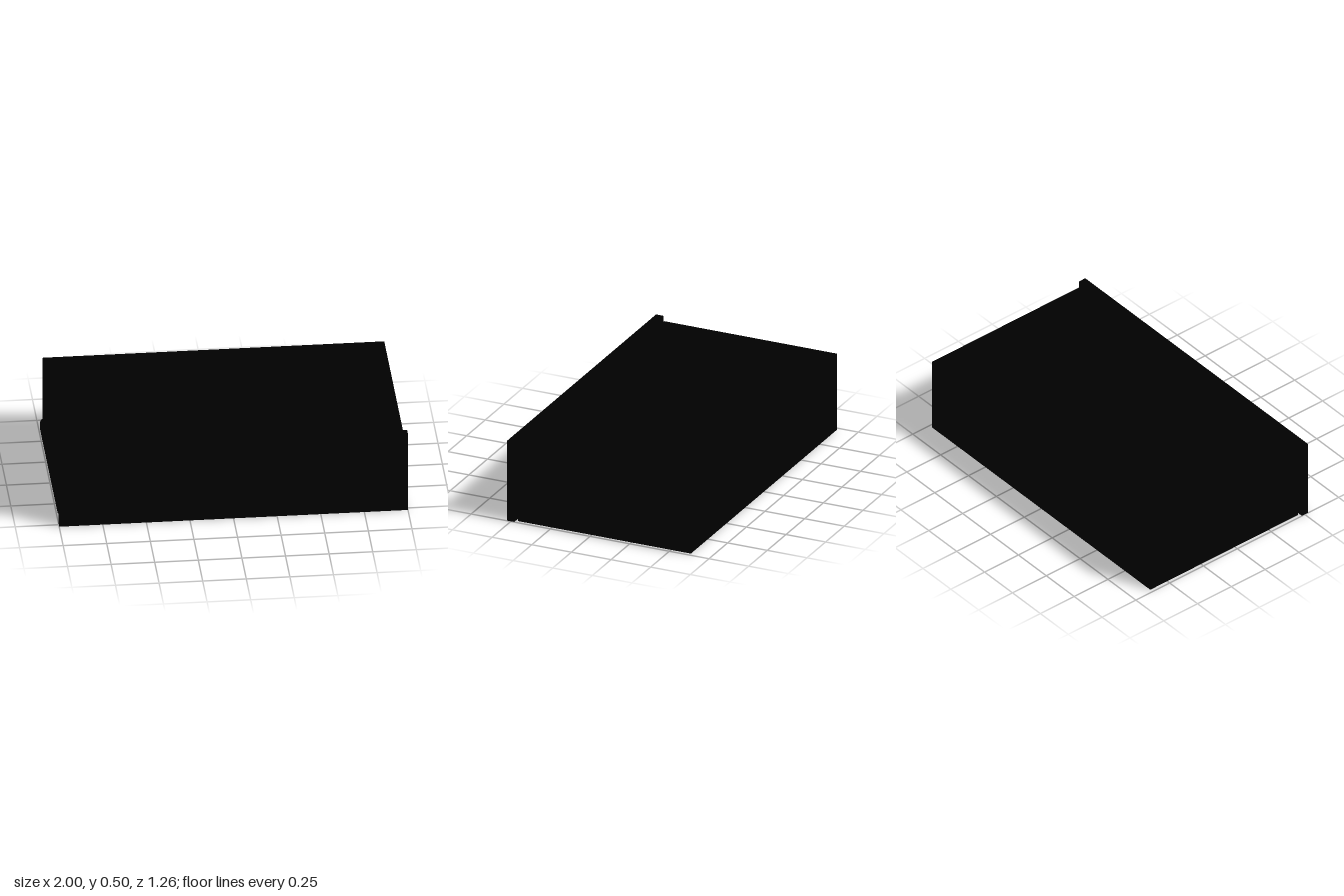
import * as THREE from 'three';
import { RoundedBoxGeometry } from 'three/addons/geometries/RoundedBoxGeometry.js';

export function createModel() {
  const model = new THREE.Group();
  model.name = 'drawer';
  const black = new THREE.MeshStandardMaterial({ color: 0x000000 });

  function add(name, geometry, parent = model) {
    const mesh = new THREE.Mesh(geometry, black);
    mesh.name = name;
    parent.add(mesh);
    return mesh;
  }

  // Board with slightly eased edges, given by its minimum and maximum corners
  function board(name, [x0, y0, z0], [x1, y1, z1], parent) {
    const mesh = add(name, new RoundedBoxGeometry(x1 - x0, y1 - y0, z1 - z0, 2, 0.003), parent);
    mesh.position.set((x0 + x1) / 2, (y0 + y1) / 2, (z0 + z1) / 2);
  }

  // Tray: floor, back and two sides, closed in front by the panel
  const W = 0.98, H = 0.474, back = -0.627, front = 0.466, t = 0.028;
  const tray = new THREE.Group();
  tray.name = 'tray';
  model.add(tray);
  board('floor', [-W + t, 0, back + t], [W - t, 0.025, front], tray);
  board('backWall', [-W + t, 0, back], [W - t, H, back + t], tray);
  board('rightWall', [-W, 0, back], [-W + t, H, front], tray);
  board('leftWall', [W - t, 0, back], [W, H, front], tray);

  // Front panel, set slightly ahead of the tray
  board('frontPanel', [-1, 0, 0.477], [1, 0.497, 0.526]);

  // Slide rails with a rounded upper edge, one on each side
  const y0 = 0.037, y1 = 0.106, rx = 0.016, ry = 0.028;
  for (const [name, s] of [['leftRail', 1], ['rightRail', -1]]) {
    const profile = new THREE.Shape();
    profile.moveTo(s * W, y0);
    profile.lineTo(s * (1 - 0.004), y0);
    profile.lineTo(s, y0 + 0.004);
    profile.lineTo(s, y1 - ry);
    profile.quadraticCurveTo(s, y1, s * (1 - rx), y1);
    profile.lineTo(s * W, y1);
    profile.closePath();
    const rail = new THREE.ExtrudeGeometry(profile, { depth: 1.0, bevelEnabled: false, curveSegments: 8 });
    add(name, rail).position.z = -0.568;
  }

  // Bent bar handle, a little left of centre
  const v = (x, z) => new THREE.Vector3(x, 0.243, z);
  const xa = -0.114, xb = 0.184, za = 0.515, zb = 0.615, c = 0.04;
  const path = new THREE.CurvePath();
  path.add(new THREE.LineCurve3(v(xa, za), v(xa, zb - c)));
  path.add(new THREE.QuadraticBezierCurve3(v(xa, zb - c), v(xa, zb), v(xa + c, zb)));
  path.add(new THREE.LineCurve3(v(xa + c, zb), v(xb - c, zb)));
  path.add(new THREE.QuadraticBezierCurve3(v(xb - c, zb), v(xb, zb), v(xb, zb - c)));
  path.add(new THREE.LineCurve3(v(xb, zb - c), v(xb, za)));
  add('handle', new THREE.TubeGeometry(path, 80, 0.014, 12));

  return model;
}
